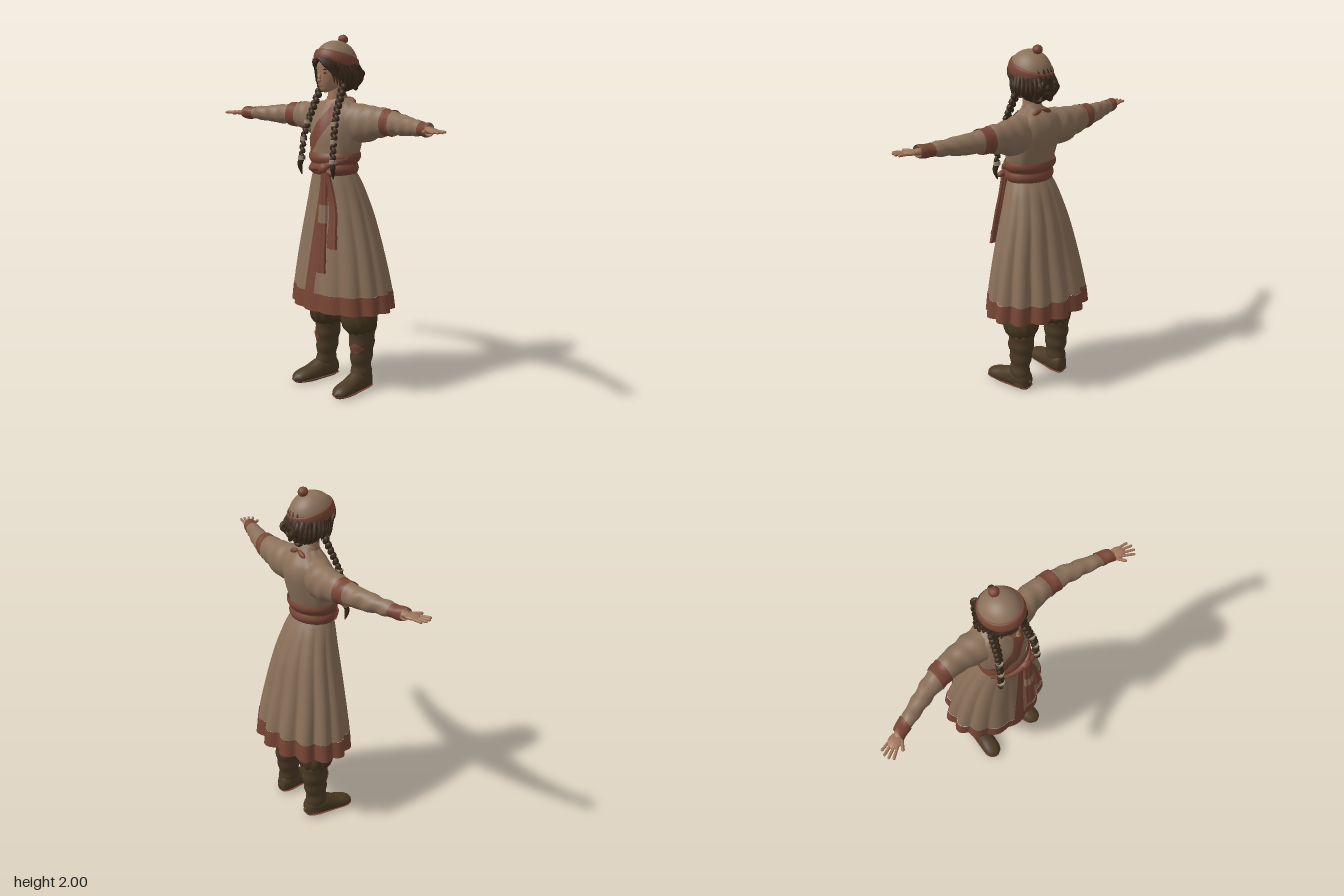
import * as THREE from 'three';
import { mergeGeometries } from 'three/addons/utils/BufferGeometryUtils.js';

const flat = (name, color, side = THREE.FrontSide) => Object.assign(new THREE.MeshStandardMaterial({ color, side }), { name });

// smooth interpolation of [t, cx, cz, rx, rz] cross-sections, t ascending
function sectionAt(p, t) {
  let i = 0;
  while (i < p.length - 2 && t > p[i + 1][0]) i++;
  const a = p[i], b = p[i + 1], o = p[Math.max(i - 1, 0)], c = p[Math.min(i + 2, p.length - 1)];
  const h = b[0] - a[0], u = (t - a[0]) / h, u2 = u * u, u3 = u2 * u;
  return [1, 2, 3, 4].map(k => {
    const m0 = (b[k] - o[k]) / (b[0] - o[0]) * h, m1 = (c[k] - a[k]) / (c[0] - a[0]) * h;
    return (2 * u3 - 3 * u2 + 1) * a[k] + (u3 - 2 * u2 + u) * m0 + (3 * u2 - 2 * u3) * b[k] + (u3 - u2) * m1;
  });
}

// elliptical loft along y; xs(t) limits it to a front strip between two x values
function loft(p, { from = p[0][0], to = p[p.length - 1][0], rows = 24, cols = 36, xs = null, grow = () => 0 } = {}) {
  const pos = [], idx = [], n = xs ? cols + 1 : cols;
  for (let j = 0; j <= rows; j++) {
    const t = from + (to - from) * j / rows, [cx, cz, rx, rz] = sectionAt(p, t);
    const ends = xs ? xs(t).map(x => Math.asin(THREE.MathUtils.clamp((x - cx) / rx, -1, 1))) : [0, Math.PI * 2];
    for (let i = 0; i < n; i++) {
      const a = ends[0] + (ends[1] - ends[0]) * i / cols, g = grow(t, a);
      pos.push(cx + (rx + g) * Math.sin(a), t, cz + (rz + g) * Math.cos(a));
    }
  }
  for (let j = 0; j < rows; j++) for (let i = 0; i < cols; i++) {
    const k = (i + 1) % n, a = j * n + i, b = j * n + k;
    idx.push(a, b, b + n, a, b + n, a + n);
  }
  const g = new THREE.BufferGeometry();
  g.setAttribute('position', new THREE.Float32BufferAttribute(pos, 3));
  g.setIndex(idx);
  g.computeVertexNormals();
  return g;
}

const blob = (x, y, z, sx, sy, sz, rz = 0) => new THREE.SphereGeometry(1, 14, 10).scale(sx, sy, sz).rotateZ(rz).translate(x, y, z);
const curve = pts => new THREE.CatmullRomCurve3(pts.map(p => new THREE.Vector3(...p)));
const mix = THREE.MathUtils.lerp;

function mirrored(geo) {
  const g = geo.clone().scale(-1, 1, 1), ix = g.index.array;
  for (let i = 0; i < ix.length; i += 3) [ix[i], ix[i + 1]] = [ix[i + 1], ix[i]];
  return g;
}

// lock of hair that narrows to its tip
function strand(pts, r) {
  const c = curve(pts), g = new THREE.TubeGeometry(c, 10, r, 6), p = g.attributes.position;
  for (let i = 0; i < p.count; i++) {
    const u = Math.floor(i / 7) / 10, m = c.getPointAt(u), k = 1 - 0.85 * u * u;
    p.setXYZ(i, mix(m.x, p.getX(i), k), mix(m.y, p.getY(i), k), mix(m.z, p.getZ(i), k));
  }
  g.computeVertexNormals();
  return g;
}

function clampY(g, lo, hi) {
  const p = g.attributes.position;
  for (let i = 0; i < p.count; i++) p.setY(i, THREE.MathUtils.clamp(p.getY(i), lo, hi));
  g.computeVertexNormals();
  return g;
}

export function createModel() {
  const model = new THREE.Group();
  model.name = 'travellerFigure';
  const tan = flat('tan cloth', 0x8a7059, THREE.DoubleSide), red = flat('russet cloth', 0x784635, THREE.DoubleSide);
  const olive = flat('dark trousers', 0x45361f), leather = flat('boot leather', 0x4b3a25);
  const hairMat = flat('dark hair', 0x3b2a1b), skin = flat('skin', 0xa0755a), cream = flat('hair ties', 0x9a8a72);
  const lipMat = flat('lips', 0x83503f);
  const add = (name, geo, mat) => {
    const m = new THREE.Mesh(geo, mat);
    m.name = name;
    model.add(m);
    return m;
  };
  const pair = (name, geo, mat) => { add(name + 'Left', geo, mat); add(name + 'Right', mirrored(geo), mat); };

  // jacket body and crossed lapel
  const torso = [[1.22, 0, .06, .125, .105], [1.3, 0, .06, .132, .11], [1.38, 0, .05, .15, .12], [1.46, 0, .04, .157, .13],
    [1.54, 0, .025, .165, .125], [1.6, 0, .018, .155, .1], [1.635, 0, .022, .1, .075], [1.66, 0, .03, .056, .052]];
  const crease = (t, a) => .003 * Math.sin(9 * a + 14 * t);
  add('jacketBody', loft(torso, { cols: 60, rows: 30, grow: crease }), tan);
  const lapel = [[1.35, -.115, .035], [1.45, -.04, .05], [1.54, .025, .045], [1.63, .06, .025]];
  add('lapel', loft(torso, {
    from: 1.35, to: 1.635, cols: 12, grow: (t, a) => crease(t, a) + .006,
    xs: t => {
      const i = t < 1.45 ? 0 : t < 1.54 ? 1 : 2, a = lapel[i], b = lapel[i + 1], u = (t - a[0]) / (b[0] - a[0]);
      const c = mix(a[1], b[1], u), w = mix(a[2], b[2], u);
      return [c - w, c + w];
    }
  }), red);
  add('neckOpening', loft(torso, { from: 1.6, to: 1.66, cols: 8, grow: () => .005, xs: t => [-(t - 1.6) * .6, (t - 1.6) * .6] }), skin);
  const collar = loft([[0, 0, 0, .066, .06], [.02, 0, 0, .06, .056], [.04, 0, 0, .056, .052]], { rows: 4 });
  add('collar', collar.rotateX(.35).translate(0, 1.635, .03), tan);
  pair('neckRibbon', blob(.035, 1.645, -.04, .034, .014, .014, -.35), red);

  // skirt with pleats, hem and front border
  const skirt = [[.485, 0, 0, .325, .237], [.6, 0, .002, .308, .23], [.8, 0, .01, .27, .2], [1, 0, .02, .218, .17],
    [1.1, 0, .03, .188, .15], [1.2, 0, .045, .155, .128], [1.27, 0, .06, .125, .105]];
  const pleat = (t, a) => .05 * (1.27 - t) / .79 * (Math.abs(Math.cos(7 * a + .4)) - .6) * (.3 + .35 * (1 - Math.cos(a)));
  add('skirt', loft(skirt, { from: .585, cols: 168, rows: 24, grow: pleat }), tan);
  add('skirtHem', loft(skirt, { to: .585, cols: 168, rows: 5, grow: (t, a) => pleat(t, a) + .002 }), red);
  add('skirtFrontBorder', loft(skirt, {
    from: .58, to: 1.25, cols: 12, grow: (t, a) => pleat(t, a) + .005,
    xs: t => [mix(-.055, .02, (t - .58) / .67), mix(.02, .055, (t - .58) / .67)]
  }), red);

  // sash with knot and hanging tails
  add('sash', loft(torso, { from: 1.245, to: 1.365, cols: 60, grow: t => .006 + .012 * Math.abs(Math.sin((t - 1.245) / .12 * Math.PI * 2)) }), red);
  add('sashWrap', new THREE.TubeGeometry(curve([[-.13, 1.27, .11], [-.06, 1.275, .172], [.03, 1.29, .19], [.09, 1.31, .165], [.14, 1.34, .09]]), 24, .017, 8), red);
  add('sashKnot', blob(.05, 1.285, .19, .038, .03, .025, .3), red);
  add('sashLoop', blob(.095, 1.265, .18, .036, .018, .018, -.3), red);
  const longTail = [[.715, .07, .232, .042, .012], [.75, .07, .23, .036, .013], [.95, .068, .214, .03, .011], [1.1, .066, .203, .025, .012], [1.27, .06, .19, .02, .012]];
  const shortTail = [[.855, .137, .206, .036, .013], [.9, .134, .202, .031, .013], [1.05, .122, .182, .026, .012], [1.15, .1, .178, .022, .012], [1.27, .07, .185, .02, .012]];
  const fold = (t, a) => .003 * Math.cos(6 * a);
  add('sashTailLong', loft(longTail, { grow: fold }), red);
  add('sashTailShort', loft(shortTail, { grow: fold }), red);
  add('sashTailPatch', loft(longTail, { from: .99, to: 1.09, rows: 8, grow: (t, a) => fold(t, a) + .002 }), tan);
  [[longTail, .77], [shortTail, .91]].forEach(([p, y]) => add('sashTailBinding', loft(p, { from: y, to: y + .018, rows: 3, grow: () => .006 }), red));

  // sleeves: lofted upright, then laid along x
  const arm = [[.05, -1.54, .02, .085, .085], [.14, -1.53, .01, .105, .088], [.2, -1.527, 0, .1, .078], [.3, -1.54, -.003, .08, .066],
    [.4, -1.543, .007, .062, .058], [.5, -1.54, .03, .054, .05], [.6, -1.539, .06, .043, .043], [.7, -1.538, .09, .031, .036], [.735, -1.538, .102, .028, .034]];
  const sleeve = (from, to, out, rows) => loft(arm, {
    from, to, rows, grow: (t, a) => out + .004 * Math.sin(70 * t + 2 * Math.sin(a)) * Math.sin(a + 9 * t)
  }).rotateZ(-Math.PI / 2);
  pair('sleeve', sleeve(.05, .735, 0, 60), tan);
  pair('armBand', sleeve(.345, .41, .005, 8), red);
  pair('cuff', sleeve(.665, .735, .005, 8), red);

  // hands
  const digit = (x, z, len, r, turn) => new THREE.CapsuleGeometry(r, len, 4, 8).rotateZ(-Math.PI / 2).translate(len / 2, 0, 0).rotateY(-turn).translate(x, 0, z);
  const hand = [blob(.005, 0, 0, .03, .018, .024), blob(.045, 0, 0, .045, .014, .036), digit(.025, .028, .05, .009, .6)];
  [-.027, -.009, .009, .027].forEach((z, i) => hand.push(digit(.07, z, [.042, .058, .062, .055][i], .0075, z * 7)));
  pair('hand', mergeGeometries(hand).rotateY(-.38).translate(.725, 1.537, .1), skin);

  // trousers, boots and soles
  pair('trouserLeg', loft([[.34, .14, -.015, .068, .08], [.37, .137, -.01, .088, .1], [.42, .133, -.006, .095, .107], [.5, .12, 0, .085, .095],
    [.6, .11, 0, .085, .095], [.8, .09, 0, .08, .09]], { cols: 48, grow: (t, a) => .005 * Math.sin(11 * a + 25 * t) }), olive);
  const shaft = [[.03, .153, -.02, .046, .06], [.1, .15, -.01, .05, .066], [.15, .146, -.012, .05, .066], [.25, .144, -.018, .06, .077], [.34, .142, -.02, .07, .082], [.37, .141, -.02, .064, .077]];
  const slouch = t => .003 * Math.sin(t * 75);
  pair('bootShaft', loft(shaft, { grow: slouch }), leather);
  pair('bootPatch', loft(shaft, {
    from: .225, to: .29, rows: 10, cols: 8, grow: t => slouch(t) + .004,
    xs: t => { const w = .034 * Math.sin((t - .225) / .065 * Math.PI); return [.165 - w, .165 + w]; }
  }), red);
  const foot = out => loft([[-.085, .14, -.05, .008, .01], [-.075, .142, -.055, .035, .05], [-.03, .147, -.06, .052, .068], [.04, .155, -.055, .053, .066],
    [.11, .163, -.04, .054, .05], [.17, .17, -.035, .052, .036], [.205, .173, -.03, .036, .024], [.222, .175, -.028, .006, .006]],
    { rows: 40, grow: () => out }).rotateX(Math.PI / 2);
  pair('bootFoot', clampY(foot(0), .012, 1), leather);
  pair('bootSole', clampY(foot(.003), 0, .018), red);

  // head, neck and face
  add('neck', new THREE.CylinderGeometry(.042, .05, .16, 20).translate(0, 1.68, .045), skin);
  const head = [[1.692, 0, .125, .008, .008], [1.698, 0, .12, .028, .026], [1.72, 0, .1, .047, .056], [1.75, 0, .085, .061, .078],
    [1.8, 0, .075, .071, .091], [1.86, 0, .065, .075, .098], [1.92, 0, .05, .05, .07]];
  add('head', loft(head), skin);
  add('nose', blob(0, 1.77, .166, .01, .025, .011), skin);
  add('noseTip', blob(0, 1.757, .17, .013, .01, .012), skin);
  add('mouth', blob(0, 1.729, .16, .019, .005, .004), lipMat);
  pair('eye', blob(.03, 1.798, .157, .014, .005, .004), hairMat);
  pair('eyebrow', blob(.031, 1.817, .158, .019, .0035, .004, .1), hairMat);

  // hair mass, back bun and loose locks
  add('hairMass', loft([[1.69, 0, 0, .02, .02], [1.71, 0, 0, .07, .06], [1.76, 0, 0, .1, .09], [1.82, 0, .02, .112, .11], [1.88, 0, .03, .09, .1]],
    { cols: 80, grow: (t, a) => .005 * Math.sin(20 * a + 40 * t) }), hairMat);
  [[0, 1.765, -.08], [.045, 1.785, -.075], [-.045, 1.785, -.075], [.04, 1.735, -.055], [-.04, 1.735, -.055]].forEach(([x, y, z], i) =>
    add('hairBun', new THREE.TorusKnotGeometry(.02, .012, 40, 6, 2, 3).rotateY(i).translate(x, y, z), hairMat));
  for (let i = 0; i < 5; i++) pair('fringe', strand([[.005 + i * .012, 1.875, .168 - i * .004], [.035 + i * .012, 1.845, .164 - i * .008],
    [.066 + i * .007, 1.8 - i * .004, .135 - i * .012], [.075 + i * .009, 1.745 - (i % 3) * .012, .125 - i * .014]], .012), hairMat);
  for (let i = 0; i < 12; i++) {
    const a = .9 + i * .2, r = .115 + .008 * Math.sin(i * 5), s = Math.sin(a), c = Math.cos(a), d = .015 * Math.sin(i * 7);
    pair('sideLock', strand([[.1 * s, 1.85, .04 + .1 * c], [r * s, 1.81, .03 + r * c], [(r + .012) * s, 1.77 + d, .02 + r * c], [(r - .01 + d) * s, 1.725 + d, .02 + (r - .02) * c]], .013), hairMat);
  }

  // braids with ties and tails
  const path = curve([[.085, 1.74, .07], [.093, 1.66, .105], [.1, 1.59, .135], [.117, 1.49, .168], [.124, 1.4, .183], [.127, 1.32, .19]]);
  const plaits = [];
  for (let i = 0; i < 26; i++) {
    const p = path.getPointAt(i / 25), s = i % 2 ? 1 : -1, w = 1 - i * .014;
    plaits.push(blob(p.x + s * .009 * w, p.y, p.z, .018 * w, .021, .017 * w, s * .6));
  }
  pair('braid', mergeGeometries(plaits), hairMat);
  [.52, .74, .98].forEach(u => {
    const p = path.getPointAt(u);
    pair('braidTie', new THREE.CylinderGeometry(.02, .02, .022, 14).translate(p.x, p.y, p.z), cream);
  });
  pair('braidTail', strand([[.127, 1.325, .19], [.134, 1.29, .196], [.128, 1.235, .186]], .017), hairMat);

  // knitted hat with turned band and pompom
  const hat = new THREE.Group();
  hat.name = 'hat';
  const turned = (name, pts, mat) => {
    const m = new THREE.Mesh(new THREE.LatheGeometry(new THREE.SplineCurve(pts.map(p => new THREE.Vector2(...p))).getPoints(20), 40).scale(1, 1, 1.13), mat);
    m.name = name;
    hat.add(m);
  };
  turned('hatCrown', [[.11, .03], [.102, .065], [.08, .1], [.045, .126], [.001, .138]], tan);
  turned('hatBand', [[.1, .004], [.112, 0], [.118, .025], [.113, .055], [.104, .06]], red);
  const pom = new THREE.Mesh(new THREE.IcosahedronGeometry(.026, 1).scale(1.1, 1, 1.1).translate(0, .152, -.015), red);
  pom.name = 'pompom';
  hat.add(pom);
  hat.rotation.x = -.3;
  hat.position.set(0, 1.833, .052);
  model.add(hat);
  return model;
}
